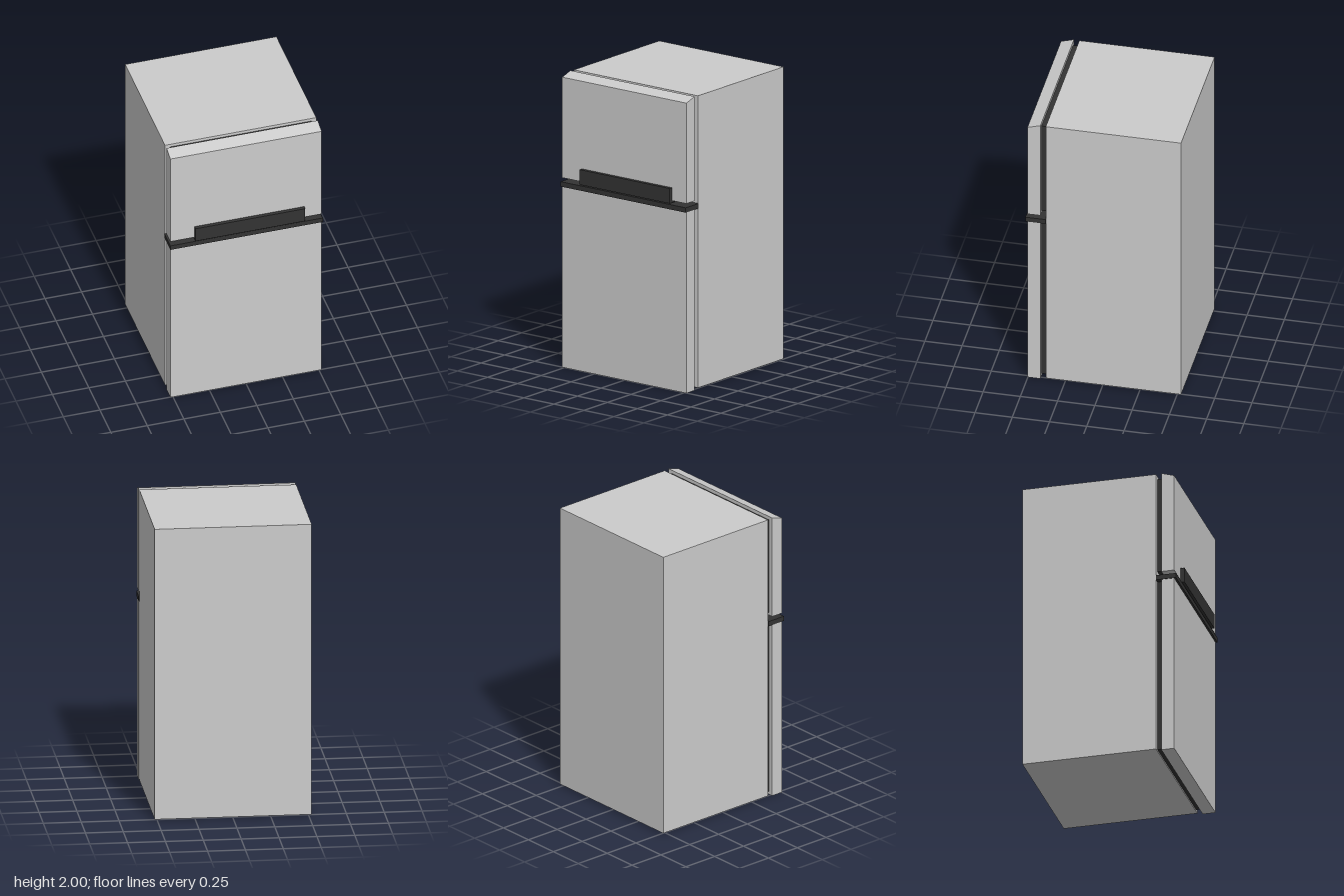
import * as THREE from 'three';

const grey = new THREE.MeshStandardMaterial({ color: 0xcccccc });
const dark = new THREE.MeshStandardMaterial({ color: 0x333333 });

// Box given by its limits on each axis
function block(name, [x0, x1], [y0, y1], [z0, z1], material) {
  const mesh = new THREE.Mesh(new THREE.BoxGeometry(x1 - x0, y1 - y0, z1 - z0), material);
  mesh.position.set((x0 + x1) / 2, (y0 + y1) / 2, (z0 + z1) / 2);
  mesh.name = name;
  return mesh;
}

// Side profile of [z, y] points, extruded across x from x0 to x1
function extrudeAcross(name, profile, x0, x1, material) {
  const shape = new THREE.Shape(profile.map(([z, y]) => new THREE.Vector2(-z, y)));
  const geometry = new THREE.ExtrudeGeometry(shape, { depth: x1 - x0, bevelEnabled: false });
  geometry.rotateY(Math.PI / 2).translate(x0, 0, 0);
  const mesh = new THREE.Mesh(geometry, material);
  mesh.name = name;
  return mesh;
}

export function createModel() {
  const fridge = new THREE.Group();
  fridge.name = 'refrigerator';
  const width = [-0.518, 0.518];
  const sealWidth = [-0.485, 0.485];

  // Cabinet
  fridge.add(block('cabinet', width, [0.01, 1.997], [-0.528, 0.38], grey));

  // Recessed door seals
  fridge.add(block('lowerSeal', sealWidth, [0.02, 1.232], [0.38, 0.416], dark));
  fridge.add(block('upperSeal', sealWidth, [1.308, 1.976], [0.38, 0.416], dark));

  // Lower door and the trim strip capping it
  fridge.add(block('lowerDoor', width, [0, 1.232], [0.416, 0.503], grey));
  fridge.add(block('doorTrim', [-0.522, 0.522], [1.232, 1.265], [0.38, 0.516], dark));

  // Freezer door with a sloping top edge
  fridge.add(extrudeAcross('freezerDoor',
    [[0.416, 1.29], [0.503, 1.29], [0.503, 1.974], [0.416, 2]], ...width, grey));

  // L-section handle wrapped under the freezer door
  fridge.add(extrudeAcross('freezerHandle',
    [[0.437, 1.276], [0.528, 1.276], [0.528, 1.378], [0.503, 1.378], [0.503, 1.29], [0.437, 1.29]],
    -0.353, 0.398, dark));

  return fridge;
}
